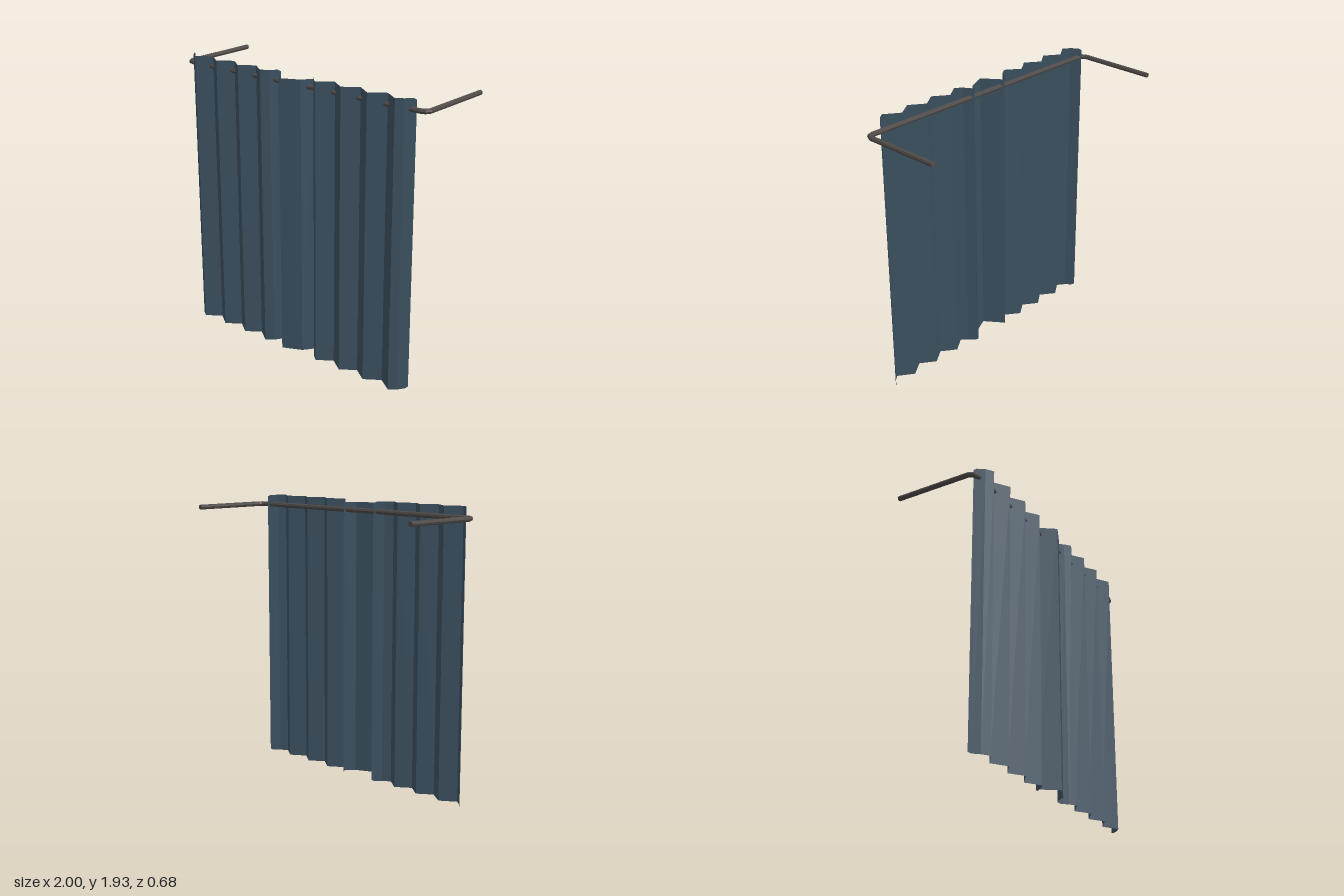
import * as THREE from 'three';

const curtainMat = new THREE.MeshStandardMaterial({ color: 0x3d5262, side: THREE.DoubleSide, flatShading: true });
curtainMat.name = 'slate blue cloth';
const rodMat = new THREE.MeshStandardMaterial({ color: 0x4f4b49, flatShading: true });
rodMat.name = 'dark metal';

// Build a grid surface from equal-length rows of points, wound outward
function loft(rows) {
  const pos = [], idx = [], n = rows[0].length;
  rows.forEach(r => r.forEach(p => pos.push(...p)));
  for (let i = 0; i < rows.length - 1; i++)
    for (let j = 0; j < n - 1; j++) {
      const a = i * n + j, b = a + n;
      idx.push(a, b, a + 1, b, b + 1, a + 1);
    }
  const g = new THREE.BufferGeometry();
  g.setAttribute('position', new THREE.Float32BufferAttribute(pos, 3));
  g.setIndex(idx);
  const flat = g.toNonIndexed();
  flat.computeVertexNormals();
  return flat;
}

// Cloth sheet: fold line of [x, z, trim], trim shortens the sheet at top and bottom
function sheet(name, fold) {
  const edge = f => fold.map(([x, z, t = 0]) => [x, f(t), z]);
  const mesh = new THREE.Mesh(loft([edge(t => 1.93 - t), edge(t => t)]), curtainMat);
  mesh.name = name;
  return mesh;
}

// Pleated side panel with trimmed ends curving back
function panel(name, x0, peaks, x1) {
  const fold = [[x0, 0.21, 0.012], [x0 + 0.012, 0.226, 0.002], [x0 + 0.045, 0.27]];
  peaks.forEach((x, i) => {
    if (i) fold.push([(peaks[i - 1] + x) / 2, 0.235]);
    fold.push([x, 0.305]);
  });
  fold.push([x1 - 0.045, 0.27], [x1 - 0.012, 0.226, 0.002], [x1, 0.21, 0.012]);
  return sheet(name, fold);
}

// Octagonal rod mitred along a flat path of [x, z]
function rod(path, y, r) {
  const sides = 8;
  const pts = path.map(([x, z]) => new THREE.Vector2(x, z));
  const rows = pts.map((p, i) => {
    const j1 = Math.max(i, 1), j2 = Math.min(i + 1, pts.length - 1);
    const d1 = pts[j1].clone().sub(pts[j1 - 1]).normalize();
    const d2 = pts[j2].clone().sub(pts[j2 - 1]).normalize();
    const t = d1.clone().add(d2).normalize();
    const w = r / t.dot(d1);
    return Array.from({ length: sides + 1 }, (_, j) => {
      const a = (j / sides) * Math.PI * 2;
      return [p.x - t.y * w * Math.cos(a), y + r * Math.sin(a), p.y + t.x * w * Math.cos(a)];
    });
  });
  // Close both ends
  const cap = i => rows[i].map(() => [path[i][0], y, path[i][1]]);
  return loft([cap(0), ...rows, cap(path.length - 1)]);
}

export function createModel() {
  const group = new THREE.Group();
  group.name = 'curtainOnRod';

  group.add(panel('rightCurtain', -0.945, [-0.85, -0.65, -0.455, -0.26], -0.165));
  group.add(panel('leftCurtain', 0.112, [0.2, 0.4, 0.6, 0.805], 0.895));

  // Wide fold between the two panels
  group.add(sheet('middleCurtain', [
    [-0.165, 0.21, 0.017], [-0.07, 0.34, 0.017], [0.06, 0.28, 0.017], [0.112, 0.21, 0.017],
  ]));

  // Rod with two rounded corners, returning to the wall
  const half = [[0.983, -0.34], [0.983, 0.197], [0.968, 0.224], [0.935, 0.235]];
  const mirrored = half.map(([x, z]) => [-x, z]).reverse();
  const rodMesh = new THREE.Mesh(rod([...half, ...mirrored], 1.862, 0.017), rodMat);
  rodMesh.name = 'curtainRod';
  group.add(rodMesh);

  return group;
}
